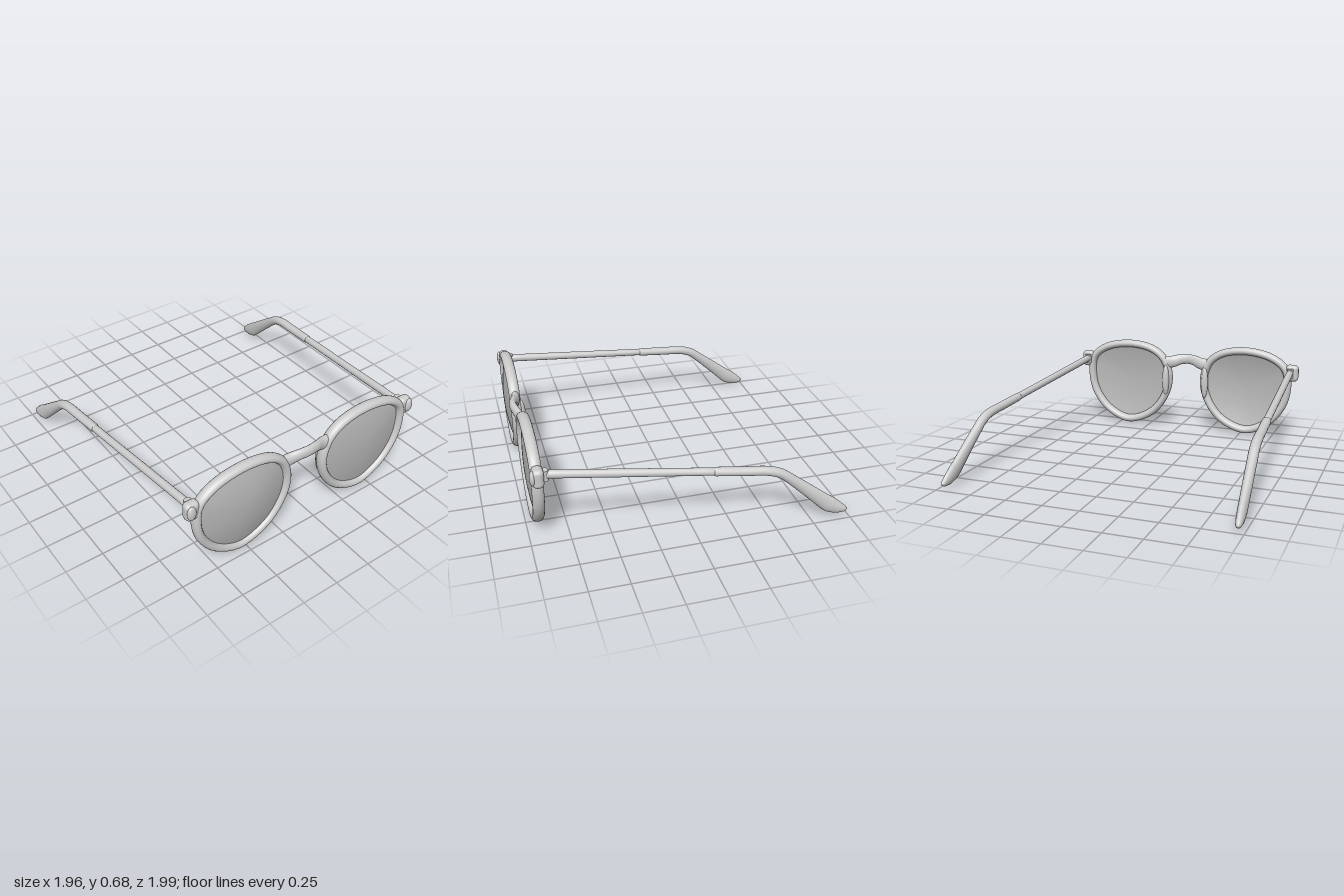
import * as THREE from 'three';
import { RoundedBoxGeometry } from 'three/addons/geometries/RoundedBoxGeometry.js';

const AXIS = -0.052; // mirror line of the front frame
const X = new THREE.Vector3(1, 0, 0);
const Z = new THREE.Vector3(0, 0, 1);

// Smooth tube through rows [x, y, z, a, b]; b is the half size along ref, a across it
function loft(rows, ref, { closed = false, steps = 48, sides = 18 } = {}) {
  const curve = new THREE.CatmullRomCurve3(
    rows.map(r => new THREE.Vector3(r[0], r[1], r[2])), closed, 'centripetal');
  const pos = [], idx = [];
  const rings = closed ? steps : steps + 1;
  const spans = closed ? rows.length : rows.length - 1;
  for (let i = 0; i < rings; i++) {
    const t = i / steps, p = curve.getPoint(t), T = curve.getTangent(t);
    const k = Math.min(Math.floor(t * spans), spans - 1), f = t * spans - k;
    const r0 = rows[k], r1 = rows[(k + 1) % rows.length];
    const a = THREE.MathUtils.lerp(r0[3], r1[3], f);
    const b = THREE.MathUtils.lerp(r0[4], r1[4], f);
    const B = ref.clone().addScaledVector(T, -ref.dot(T)).normalize();
    const N = new THREE.Vector3().crossVectors(T, B);
    for (let j = 0; j < sides; j++) {
      const w = j / sides * Math.PI * 2;
      const v = p.clone().addScaledVector(N, a * Math.cos(w)).addScaledVector(B, b * Math.sin(w));
      pos.push(v.x, v.y, v.z);
    }
  }
  for (let i = 0; i < steps; i++) for (let j = 0; j < sides; j++) {
    const n = (i + 1) % rings, m = (j + 1) % sides;
    const p = i * sides + j, q = n * sides + j, r = i * sides + m, s = n * sides + m;
    idx.push(p, q, r, r, q, s);
  }
  if (!closed) { // end caps
    const c = pos.length / 3, e = (rings - 1) * sides;
    const first = rows[0], last = rows[rows.length - 1];
    pos.push(first[0], first[1], first[2], last[0], last[1], last[2]);
    for (let j = 0; j < sides; j++) {
      const m = (j + 1) % sides;
      idx.push(c, j, m, c + 1, e + m, e + j);
    }
  }
  return finish(pos, idx);
}

function finish(pos, idx) {
  const g = new THREE.BufferGeometry();
  g.setAttribute('position', new THREE.Float32BufferAttribute(pos, 3));
  g.setIndex(idx);
  g.computeVertexNormals();
  return g;
}

// Domed lens filling the rim outline
function lensGeometry(outline, cx, cy, bulge) {
  const n = 64, rings = 10, pos = [cx, cy, 0.935 + bulge], idx = [];
  const curve = new THREE.CatmullRomCurve3(
    outline.map(p => new THREE.Vector3(p[0], p[1], 0)), true, 'centripetal');
  for (let k = 1; k <= rings; k++) for (let j = 0; j < n; j++) {
    const s = k / rings, p = curve.getPoint(j / n);
    pos.push(cx + (p.x - cx) * s, cy + (p.y - cy) * s, 0.935 + bulge * (1 - s * s));
  }
  for (let j = 0; j < n; j++) {
    const m = (j + 1) % n;
    idx.push(0, 1 + j, 1 + m);
    for (let k = 0; k < rings - 1; k++) {
      const a = 1 + k * n, b = a + n;
      idx.push(a + j, b + j, b + m, a + j, b + m, a + m);
    }
  }
  return finish(pos, idx);
}

// Rim centre line, counter-clockwise on the right side of the frame
const OUTLINE = [
  [-0.853, 0.405], [-0.82, 0.25], [-0.71, 0.108], [-0.535, 0.034], [-0.34, 0.108], [-0.23, 0.25],
  [-0.195, 0.40], [-0.235, 0.54], [-0.335, 0.62], [-0.527, 0.652], [-0.73, 0.612], [-0.833, 0.53],
];

export function createModel() {
  const group = new THREE.Group();
  const frameMat = new THREE.MeshStandardMaterial({ color: 0xcccccc });
  frameMat.name = 'frame grey';
  const lensMat = new THREE.MeshStandardMaterial({ color: 0xb8b8b8, side: THREE.DoubleSide });
  lensMat.name = 'lens grey';

  const add = (parent, name, geo, mat = frameMat) => {
    const mesh = new THREE.Mesh(geo, mat);
    mesh.name = name;
    parent.add(mesh);
    return mesh;
  };

  for (const side of ['right', 'left']) {
    const s = side === 'right' ? 1 : -1;
    const mx = x => (s === 1 ? x : 2 * AXIS - x);
    const half = new THREE.Group();
    half.name = side + 'Half';
    group.add(half);

    // Rim and lens
    let outline = OUTLINE.map(([x, y]) => [mx(x), y]);
    if (s === -1) outline = outline.reverse();
    add(half, 'rim', loft(outline.map(([x, y]) => [x, y, 0.93 + y * 0.01, 0.029, 0.037]), Z,
      { closed: true, steps: 96 }));
    add(half, 'lens', lensGeometry(outline, mx(-0.525), 0.36, s === 1 ? 0.05 : 0.036), lensMat);

    // Nose pad swelling out of the back of the rim
    const pad = add(half, 'nosePad', new THREE.SphereGeometry(1, 24, 16));
    pad.scale.set(0.027, 0.12, 0.027);
    pad.position.set(mx(-0.212), 0.385, 0.898);

    // End piece with its oval rivet
    const lug = add(half, 'endPiece', new RoundedBoxGeometry(0.095, 0.125, 0.07, 5, 0.03));
    lug.position.set(mx(-0.883), 0.51, 0.932);
    const rivet = add(half, 'rivet', new THREE.SphereGeometry(1, 24, 16));
    rivet.scale.set(0.03, 0.05, 0.018);
    rivet.position.set(mx(-0.9), 0.515, 0.965);

    // Hinge
    const hinge = add(half, 'hinge', new THREE.CylinderGeometry(0.024, 0.024, 0.07, 20));
    hinge.position.set(mx(-0.875), 0.513, 0.89);

    // Temple arm, splayed outward towards the back
    const x0 = s === 1 ? -0.875 : 0.77, x1 = s === 1 ? -0.962 : 0.957;
    const row = ([z, y, h, w]) => [x0 + (x1 - x0) * (0.875 - z) / 1.875, y, z, h, w];
    add(half, 'templeArm', loft([
      [0.885, 0.517, 0.027, 0.025], [0.4, 0.471, 0.026, 0.025], [-0.14, 0.42, 0.024, 0.025],
    ].map(row), X, { steps: 12 }));

    // Sleeve bending down to a flattened paddle tip
    add(half, 'templeTip', loft([
      [-0.115, 0.422, 0.024, 0.025], [-0.125, 0.421, 0.028, 0.03], [-0.3, 0.404, 0.029, 0.031],
      [-0.46, 0.388, 0.03, 0.032], [-0.54, 0.36, 0.031, 0.032], [-0.62, 0.3, 0.034, 0.032],
      [-0.75, 0.193, 0.044, 0.031], [-0.87, 0.095, 0.054, 0.029], [-0.93, 0.063, 0.042, 0.025],
      [-0.975, 0.048, 0.022, 0.018], [-0.995, 0.045, 0.006, 0.006],
    ].map(row), X, { steps: 80 }));
  }

  // Bridge arching forward between the rims
  add(group, 'bridge', loft([
    [-0.225, 0.52, 0.932, 0.05, 0.03], [-0.165, 0.53, 0.938, 0.045, 0.028],
    [-0.11, 0.547, 0.957, 0.04, 0.025], [AXIS, 0.552, 0.966, 0.038, 0.024],
    [0.006, 0.547, 0.957, 0.04, 0.025], [0.061, 0.53, 0.938, 0.045, 0.028],
    [0.121, 0.52, 0.932, 0.05, 0.03],
  ], Z, { steps: 36 }));

  return group;
}
